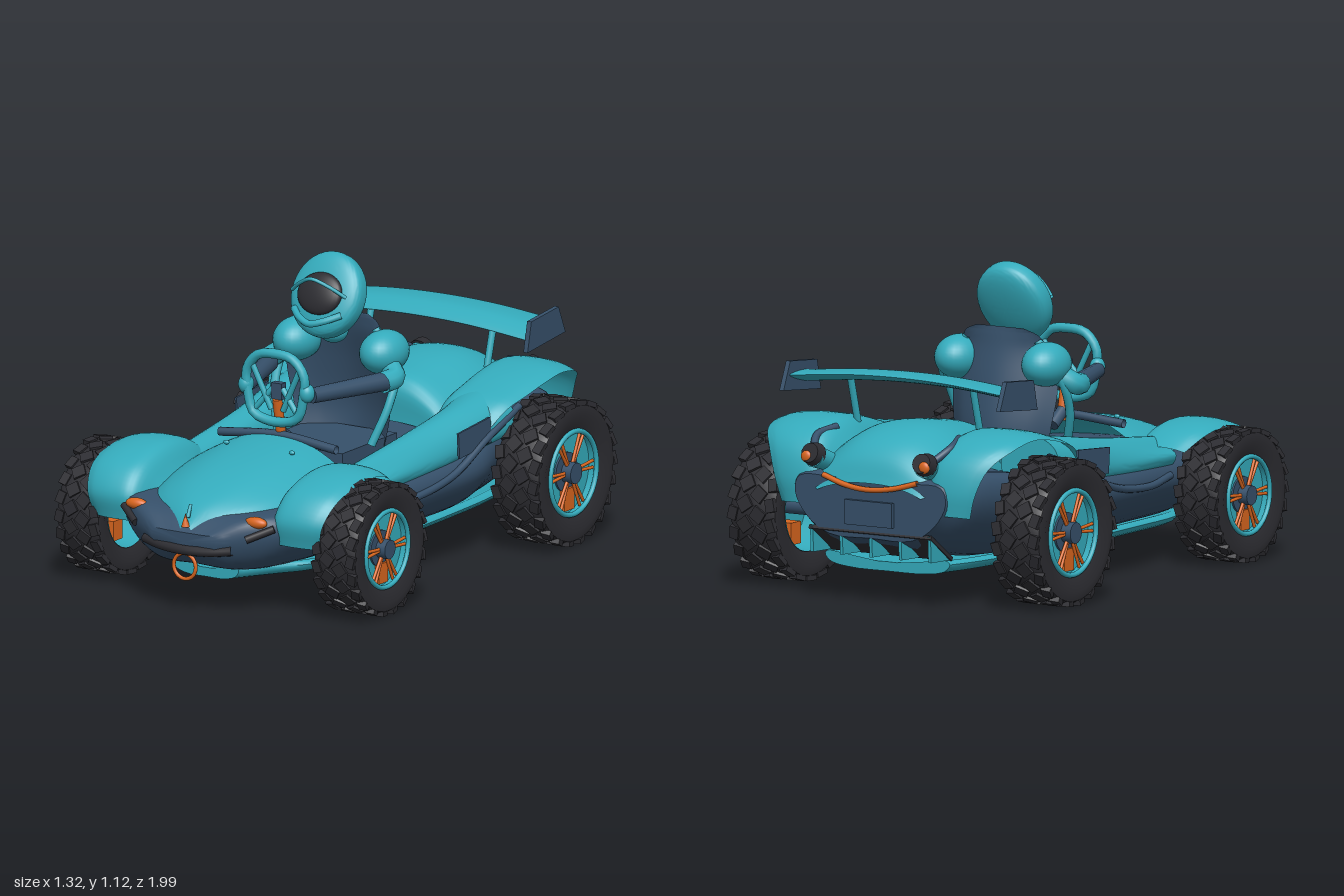
import * as THREE from 'three';
import { mergeGeometries, toCreasedNormals } from 'three/addons/utils/BufferGeometryUtils.js';

const V = (x, y, z) => new THREE.Vector3(x, y, z);
const paint = (name, color) =>
  new THREE.MeshStandardMaterial({ name, color, side: THREE.DoubleSide });

// Smooth surface through rows of points; rings may be closed and capped
function loft(rows, { closed = false, cap = false, n = 32, m = 32 } = {}) {
  const rings = rows.map((r) => {
    const c = new THREE.CatmullRomCurve3(r.map((p) => V(...p)), closed);
    return Array.from({ length: n + 1 }, (_, i) => c.getPoint(i / n));
  });
  const cols = rings[0].map((_, i) => new THREE.CatmullRomCurve3(rings.map((r) => r[i])));
  const pos = [], idx = [], w = n + 1;
  for (let j = 0; j <= m; j++) for (const c of cols) pos.push(...c.getPoint(j / m).toArray());
  for (let j = 0; j < m; j++) for (let i = 0; i < n; i++) {
    const a = j * w + i, b = a + w;
    idx.push(a, b, a + 1, a + 1, b, b + 1);
  }
  if (cap) for (const j of [0, m]) {
    const mid = V(0, 0, 0), c = pos.length / 3;
    for (let i = 0; i < n; i++) mid.add(V(...pos.slice((j * w + i) * 3, (j * w + i) * 3 + 3)));
    pos.push(...mid.divideScalar(n).toArray());
    for (let i = 0; i < n; i++) {
      const a = j * w + i;
      idx.push(...(j ? [c, a + 1, a] : [c, a, a + 1]));
    }
  }
  const g = new THREE.BufferGeometry();
  g.setAttribute('position', new THREE.Float32BufferAttribute(pos, 3));
  g.setIndex(idx);
  return toCreasedNormals(g, 0.7);
}

// Symmetric domed panel: rows of [z, half width, crest y, edge y]
const dome = (rows) => loft(rows.map(([z, w, yc, ye]) =>
  [-1, -0.8, -0.42, 0, 0.42, 0.8, 1].map((k) => [k * w, yc + (ye - yc) * Math.abs(k) ** 2.4, z])));

// Symmetric closed ring from bottom centre, right half and top centre
const ring = (z, b, t, half) => [[0, b, z], ...half.map(([x, y]) => [x, y, z]), [0, t, z],
  ...half.map(([x, y]) => [-x, y, z]).reverse()];

const tubeGeo = (pts, r, closed = false) =>
  new THREE.TubeGeometry(new THREE.CatmullRomCurve3(pts.map((p) => V(...p)), closed), 32, r, 10, closed);

export function createModel() {
  const teal = paint('teal paint', 0x34abbc), navy = paint('navy panels', 0x36506a);
  const black = paint('black rubber', 0x2c2c31), orange = paint('orange trim', 0xd9661f);
  const car = new THREE.Group();
  car.name = 'buggy';

  const add = (name, geo, mat, p = [0, 0, 0], parent = car) => {
    const mesh = new THREE.Mesh(geo, mat);
    mesh.name = name;
    mesh.position.set(...p);
    parent.add(mesh);
    return mesh;
  };
  const box = (name, size, mat, p, parent) => add(name, new THREE.BoxGeometry(...size), mat, p, parent);
  const ball = (name, size, mat, p) => {
    const g = new THREE.SphereGeometry(1, 28, 20).scale(...size);
    return add(name, g, mat, p);
  };
  const rod = (name, a, b, ra, rb, mat, parent) => {
    const A = V(...a), d = V(...b).sub(A);
    const m = add(name, new THREE.CylinderGeometry(rb, ra, d.length(), 14), mat,
      A.clone().addScaledVector(d, 0.5).toArray(), parent);
    m.quaternion.setFromUnitVectors(V(0, 1, 0), d.normalize());
    return m;
  };

  // Lower hull: [z, half width, bottom, top]
  const hull = [[0.975, 0.14, 0.22, 0.3], [0.91, 0.26, 0.175, 0.355], [0.83, 0.345, 0.155, 0.37],
    [0.6, 0.415, 0.14, 0.38], [0.36, 0.435, 0.14, 0.38], [0, 0.47, 0.14, 0.39], [-0.25, 0.485, 0.14, 0.41],
    [-0.42, 0.44, 0.14, 0.43], [-0.6, 0.41, 0.15, 0.46], [-0.85, 0.38, 0.2, 0.48], [-0.945, 0.32, 0.24, 0.45]];
  add('lowerHull', loft(hull.map(([z, w, b, t]) =>
    ring(z, b, t, [[0.55, 0.02], [0.85, 0.3], [1, 0.7], [0.94, 0.97], [0.5, 1]].map(([k, f]) => [k * w, b + f * (t - b)]))),
  { closed: true, cap: true, n: 48, m: 50 }), navy);

  // Bonnet and engine cover
  add('bonnet', dome([[0.965, 0.03, 0.32, 0.3], [0.9, 0.13, 0.385, 0.345], [0.8, 0.23, 0.435, 0.37],
    [0.65, 0.3, 0.48, 0.38], [0.45, 0.335, 0.515, 0.39], [0.36, 0.32, 0.525, 0.4]]), teal);
  add('engineCover', dome([[-0.345, 0.22, 0.43, 0.41], [-0.355, 0.24, 0.575, 0.46], [-0.5, 0.26, 0.615, 0.5],
    [-0.7, 0.28, 0.63, 0.5], [-0.85, 0.28, 0.59, 0.45], [-0.92, 0.26, 0.53, 0.42], [-0.955, 0.22, 0.44, 0.4]]), teal);

  // Floor tray with clipped corners and upturned edges
  add('floorTray', loft([[0.83, 0.14], [0.76, 0.2], [0.69, 0.255], [0.62, 0.31], [0.55, 0.338], [0.3, 0.348], [0, 0.35],
    [-0.3, 0.345], [-0.5, 0.335], [-0.7, 0.305], [-0.83, 0.265]]
    .map(([z, w]) => ring(z, 0.106, 0.14, [[0.6 * w, 0.108], [0.92 * w, 0.124], [w, 0.15], [0.94 * w, 0.163], [0.7 * w, 0.142]])),
  { closed: true, cap: true, m: 50 }), teal);

  // Wheels; local +x points outward
  const wheel = (name, s, x, z, R, w) => {
    const g = new THREE.Group();
    g.name = name;
    g.position.set(s * x, R, z);
    g.rotation.y = s > 0 ? 0 : Math.PI;
    car.add(g);
    const h = w / 2, r = R * 0.6;
    const prof = [[r, -h * 0.8], [R * 0.8, -h * 0.99], [R * 0.92, -h * 0.93], [R * 0.965, -h * 0.72], [R * 0.965, 0],
      [R * 0.965, h * 0.72], [R * 0.92, h * 0.93], [R * 0.8, h * 0.99], [r, h * 0.8], [r, -h * 0.8]];
    add('tyre', toCreasedNormals(new THREE.LatheGeometry(prof.map((p) => new THREE.Vector2(...p)), 48).rotateZ(-Math.PI / 2), 0.8),
      black, [0, 0, 0], g);
    const lugs = [], count = 22;
    for (let i = 0; i < count; i++) for (const [k, turn, off] of [[-0.78, 0.25, 0], [-0.28, -0.6, 0.5], [0.28, 0.6, 0], [0.78, -0.25, 0.5]]) {
      const edge = Math.abs(k) > 0.5;
      lugs.push(new THREE.BoxGeometry(w * (edge ? 0.18 : 0.26), R * 0.07, R * 0.18).rotateY(turn)
        .translate(k * h, R * (edge ? 0.955 : 0.96), 0).rotateX(((i + off) / count) * Math.PI * 2));
    }
    add('treadBlocks', mergeGeometries(lugs), black, [0, 0, 0], g);
    const disc = (nm, rad, len, mat, px, open = false) =>
      add(nm, new THREE.CylinderGeometry(rad, rad, len, 32, 1, open).rotateZ(Math.PI / 2), mat, [px, 0, 0], g);
    disc('rimBarrel', r * 0.99, w * 0.82, teal, 0, true);
    disc('rimDish', r * 0.98, 0.012, teal, h * 0.4);
    disc('brakeDisc', r * 0.45, 0.012, navy, h * 0.48);
    add('rimLip', new THREE.TorusGeometry(r * 0.95, r * 0.06, 10, 40).rotateY(Math.PI / 2), teal, [h * 0.82, 0, 0], g);
    // Six twin-bar spokes
    for (let i = 0; i < 6; i++) for (const k of [-1, 1]) {
      const a = (i / 6) * Math.PI * 2 + Math.PI / 6, ends = [[0.2, 0.02], [0.92, 0.08]].map(([d, t]) =>
        [h * 0.68, r * (d * Math.cos(a) - k * t * Math.sin(a)), r * (d * Math.sin(a) + k * t * Math.cos(a))]);
      rod('spoke', ends[0], ends[1], 0.006, 0.006, orange, g);
    }
    box('brakeCaliper', [h * 0.9, r * 0.5, r * 0.4], orange, [h * 0.2, -r * 0.62, 0], g);
    disc('hub', r * 0.24, 0.045, navy, h * 0.72);
    disc('axle', 0.03, 0.3, navy, -0.12);
  };

  // Arched mudguard over a wheel: path points [z, y, outer x]
  const fender = (name, s, cz, cy, xi, path) => add(name, loft(path.map(([z, y, xo]) => {
    const d = V(0, y - cy, z - cz).normalize();
    return [[0, -0.09], [0.2, -0.005], [0.5, 0.01], [0.85, 0], [1, -0.018]].map(([k, o]) =>
      [s * (xi + k * (xo - xi)), y + d.y * o, z + d.z * o]);
  }), { n: 20 }), teal);

  for (const s of [1, -1]) {
    const side = s > 0 ? 'left' : 'right';
    wheel(side + 'FrontWheel', s, 0.548, 0.6, 0.245, 0.185);
    wheel(side + 'RearWheel', s, 0.56, -0.6, 0.268, 0.2);
    fender(side + 'FrontFender', s, 0.6, 0.245, 0.26, [[0.84, 0.27, 0.48], [0.855, 0.36, 0.5], [0.8, 0.44, 0.52],
      [0.7, 0.485, 0.53], [0.57, 0.503, 0.53], [0.45, 0.483, 0.525], [0.35, 0.43, 0.5]]);
    fender(side + 'RearFender', s, -0.6, 0.27, 0.2, [[-0.28, 0.47, 0.47], [-0.36, 0.545, 0.505], [-0.46, 0.58, 0.525],
      [-0.58, 0.61, 0.535], [-0.7, 0.622, 0.535], [-0.82, 0.595, 0.52], [-0.9, 0.53, 0.465], [-0.93, 0.43, 0.425], [-0.925, 0.34, 0.4]]);

    // Cockpit side rail, number panel and side pipe
    const rail = [[0.42, 0.27, 0.43, 0.37, 0.46], [0, 0.275, 0.45, 0.38, 0.51], [-0.25, 0.28, 0.475, 0.41, 0.55], [-0.45, 0.25, 0.49, 0.43, 0.58]];
    add(side + 'Rail', loft(rail.map(([z, xi, xo, b, t]) => [[xi, b], [xi + 0.015, t - 0.03], [(xi + xo) / 2, t],
      [xo - 0.025, t - 0.04], [xo, b + 0.03], [xo - 0.02, b - 0.01]].map(([x, y]) => [s * x, y, z])),
    { closed: true, cap: true }), teal);
    const panel = box(side + 'SidePanel', [0.008, 0.095, 0.21], navy, [s * 0.474, 0.46, -0.205]);
    panel.rotation.x = 0.08;
    add(side + 'SidePipe', tubeGeo([[0.43, 0.33, 0.38], [0.455, 0.315, 0.2], [0.472, 0.35, -0.07], [0.478, 0.44, -0.28], [0.475, 0.515, -0.5]]
      .map(([x, y, z]) => [s * x, y, z]), 0.014), navy);

    // Front lamps, bumper blades and bonnet pins
    ball(side + 'FrontLamp', [0.045, 0.021, 0.022], orange, [s * 0.255, 0.354, 0.893]);
    rod(side + 'BumperBlade', [s * 0.235, 0.295, 0.93], [s * 0.32, 0.335, 0.875], 0.014, 0.014, black);
    ball(side + 'BonnetPin', [0.012, 0.008, 0.008], teal, [s * 0.14, 0.507, 0.48]);

    // Tail pods
    rod(side + 'TailPod', [s * 0.22, 0.49, -0.87], [s * 0.235, 0.52, -0.95], 0.035, 0.042, teal);
    rod(side + 'TailPodCap', [s * 0.235, 0.522, -0.94], [s * 0.237, 0.535, -0.978], 0.045, 0.036, black);
    ball(side + 'TailLamp', [0.022, 0.022, 0.012], orange, [s * 0.25, 0.52, -0.978]);
    add(side + 'TailPipe', tubeGeo([[s * 0.26, 0.6, -0.76], [s * 0.285, 0.58, -0.85], [s * 0.25, 0.53, -0.93]], 0.014), navy);

    // Wing support and end plate
    rod(side + 'WingStrut', [s * 0.26, 0.6, -0.62], [s * 0.26, 0.775, -0.67], 0.013, 0.013, teal);
    const plate = new THREE.Shape([[0.565, 0.695], [0.59, 0.805], [0.77, 0.822], [0.815, 0.72]].map((p) => new THREE.Vector2(...p)));
    add(side + 'WingEndPlate', new THREE.ExtrudeGeometry(plate, { depth: 0.018, bevelEnabled: false })
      .rotateY(Math.PI / 2), navy, [s * 0.46 - 0.009, 0, 0]);

    // Driver arm, hand and seat tube
    ball(side + 'Shoulder', [0.083, 0.08, 0.108], teal, [s * 0.185, 0.77, -0.06]);
    add(side + 'UpperArm', tubeGeo([[s * 0.21, 0.74, -0.04], [s * 0.265, 0.7, 0.0], [s * 0.252, 0.69, 0.06]], 0.04), teal);
    rod(side + 'Forearm', [s * 0.247, 0.69, 0.035], [s * 0.14, 0.69, 0.35], 0.035, 0.028, navy);
    ball(side + 'Hand', [0.028, 0.035, 0.03], teal, [s * 0.13, 0.7, 0.365]);
    add(side + 'SeatTube', tubeGeo([[s * 0.15, 0.85, -0.06], [s * 0.24, 0.72, -0.05], [s * 0.245, 0.6, 0], [s * 0.2, 0.45, 0.05]], 0.016), teal);
    rod(side + 'WheelSpokeUpper', [s * 0.025, 0.62, 0.36], [s * 0.105, 0.79, 0.37], 0.011, 0.011, teal);
    rod(side + 'WheelSpokeLower', [s * 0.02, 0.7, 0.355], [s * 0.1, 0.605, 0.37], 0.011, 0.011, teal);
  }

  // Nose bumper, tow ring and ornament
  add('noseBumper', tubeGeo([[-0.185, 0.25, 0.945], [-0.1, 0.24, 0.968], [0, 0.237, 0.98], [0.1, 0.24, 0.968], [0.185, 0.25, 0.945]], 0.018), black);
  add('towRing', new THREE.TorusGeometry(0.047, 0.007, 10, 32), orange, [0, 0.175, 0.97]);
  add('noseOrnament', new THREE.ConeGeometry(0.016, 0.05, 8), orange, [0, 0.345, 0.965]);
  rod('noseMast', [0, 0.35, 0.95], [0, 0.395, 0.93], 0.008, 0.006, teal);

  // Rear wing
  add('rearWing', loft([-0.455, -0.22, 0, 0.22, 0.455].map((x) => {
    const y = 0.775 - 0.14 * x * x;
    return [[x, y - 0.01, -0.58], [x, y + 0.03, -0.65], [x, y + 0.025, -0.775], [x, y - 0.01, -0.66]];
  }), { closed: true, cap: true }), teal);

  // Tail trim, plate and diffuser
  add('tailStrip', tubeGeo([[-0.2, 0.455, -0.945], [-0.1, 0.428, -0.957], [0, 0.418, -0.963], [0.1, 0.428, -0.957], [0.2, 0.455, -0.945]], 0.01), orange);
  box('tailPlate', [0.2, 0.09, 0.02], navy, [0, 0.33, -0.95]);
  const ramp = box('diffuser', [0.52, 0.015, 0.17], black, [0, 0.215, -0.875]);
  ramp.rotation.x = 0.6;
  const fin = new THREE.Shape([[0.82, 0.165], [0.94, 0.17], [0.945, 0.265]].map((p) => new THREE.Vector2(...p)));
  for (let i = -2; i <= 2; i++)
    add('diffuserFin', new THREE.ExtrudeGeometry(fin, { depth: 0.012, bevelEnabled: false }).rotateY(Math.PI / 2), teal, [i * 0.125 - 0.006, 0, 0]);

  // Cockpit: dash, seat, steering
  add('dash', tubeGeo([[-0.25, 0.505, 0.355], [0, 0.525, 0.345], [0.25, 0.505, 0.355]], 0.016), navy);
  box('seatBase', [0.36, 0.06, 0.36], navy, [0, 0.42, 0.03]);
  add('seatBack', loft([[0.4, -0.16, 0.18, 0.1], [0.53, -0.165, 0.205, 0.1], [0.7, -0.13, 0.22, 0.09], [0.82, -0.095, 0.185, 0.05],
    [0.87, -0.085, 0.155, 0.02], [0.895, -0.08, 0.1, 0]]
    .map(([y, z, w, c]) => [-1, -0.6, 0, 0.6, 1].map((k) => [k * w, y, z + c * k * k]))), navy);
  const rim = [[0, 0.13], [0.075, 0.118], [0.122, 0.06], [0.118, -0.02], [0.095, -0.095], [0.04, -0.118]];
  add('steeringRim', tubeGeo([...rim, ...rim.slice(1).reverse().map(([x, y]) => [-x, y])]
    .map(([x, y]) => [x, 0.7 + y, 0.372]), 0.018, true), teal);
  rod('steeringColumn', [0, 0.5, 0.33], [0, 0.66, 0.36], 0.018, 0.018, orange);
  rod('columnFoot', [0, 0.49, 0.27], [0, 0.535, 0.335], 0.022, 0.022, navy);
  box('steeringHub', [0.045, 0.06, 0.03], navy, [0, 0.69, 0.352]);

  // Driver head: a rounded disc leaning back, with visor and guards
  ball('neck', [0.055, 0.045, 0.05], teal, [0, 0.835, -0.01]);
  const shell = new THREE.SphereGeometry(1, 40, 40).rotateX(Math.PI / 2), sp = shell.attributes.position;
  for (let i = 0; i < sp.count; i++) sp.setZ(i, Math.sign(sp.getZ(i)) * Math.abs(sp.getZ(i)) ** 0.6);
  const helmet = add('helmet', toCreasedNormals(shell.scale(0.145, 0.158, 0.064), 0.9), teal, [0, 0.972, 0.02]);
  helmet.rotation.x = -0.42;
  const visor = ball('visor', [0.092, 0.078, 0.03], black, [0, 0.99, 0.08]);
  visor.rotation.x = -0.42;
  add('visorBrow', tubeGeo([[-0.115, 0.99, 0.085], [-0.06, 1.03, 0.115], [0, 1.055, 0.135], [0.06, 1.03, 0.115], [0.115, 0.99, 0.085]], 0.007), teal);
  add('chinGuard', tubeGeo([[-0.1, 0.925, 0.095], [-0.05, 0.905, 0.135], [0, 0.893, 0.15], [0.05, 0.905, 0.135], [0.1, 0.925, 0.095]], 0.013), teal);

  return car;
}
